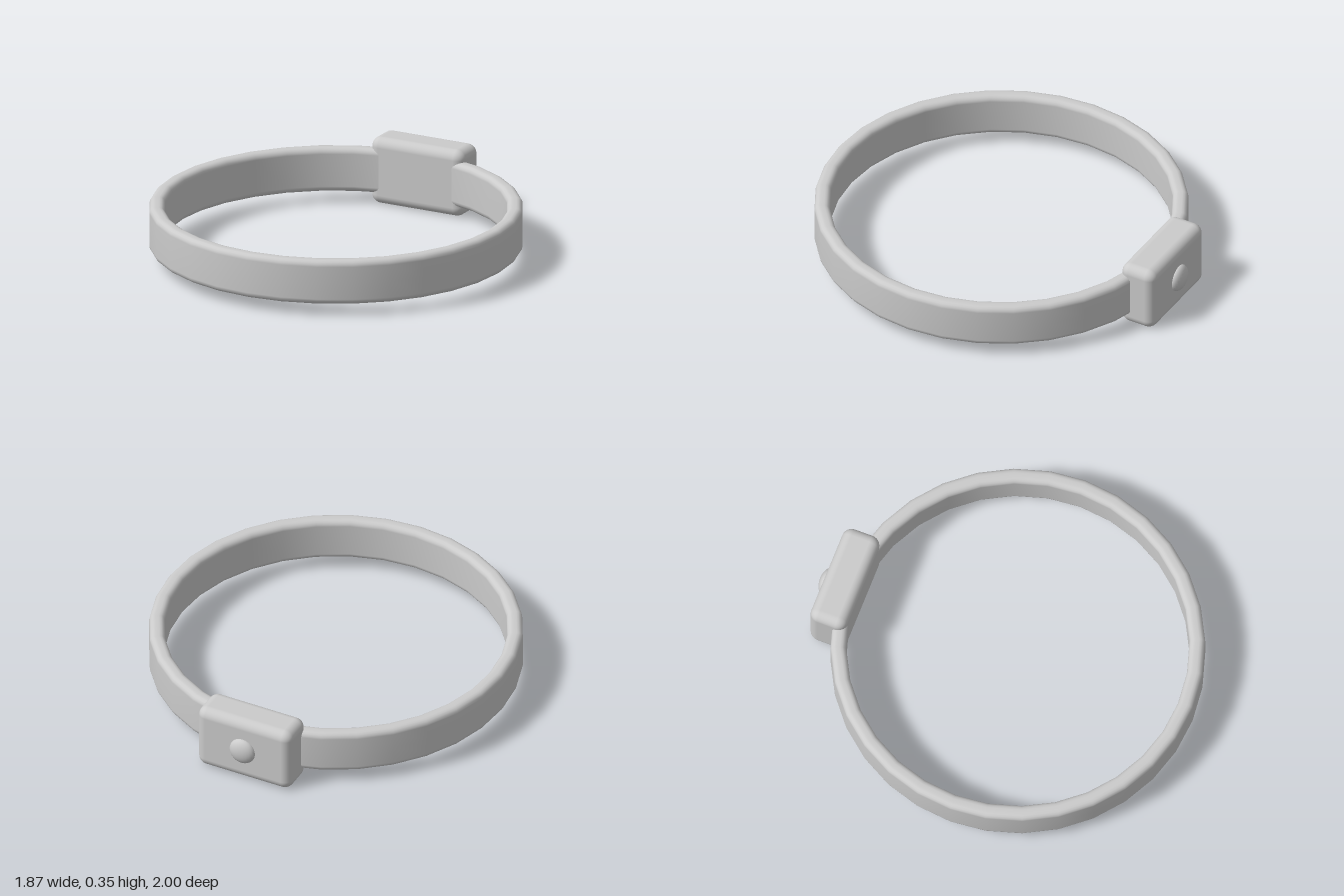
import * as THREE from 'three';
import { RoundedBoxGeometry } from 'three/addons/geometries/RoundedBoxGeometry.js';

const material = new THREE.MeshStandardMaterial({ color: 0xcccccc });

function addPart(group, name, geometry, x, y, z) {
  const mesh = new THREE.Mesh(geometry, material);
  mesh.name = name;
  mesh.position.set(x, y, z);
  group.add(mesh);
  return mesh;
}

// Rounded rectangle section of the band, as (radius, height) points
function bandProfile(inner, outer, halfHeight, round) {
  const mid = (inner + outer) / 2;
  const w = (outer - inner) / 2 - round;
  const h = halfHeight - round;
  const points = [new THREE.Vector2(outer, 0)];
  const corners = [[1, 1], [-1, 1], [-1, -1], [1, -1]];
  corners.forEach(([sx, sy], c) => {
    for (let i = 0; i <= 4; i++) {
      const a = (c + i / 4) * Math.PI / 2;
      points.push(new THREE.Vector2(
        mid + sx * w + round * Math.cos(a),
        sy * h + round * Math.sin(a)
      ));
    }
  });
  points.push(points[0].clone());
  return points;
}

export function createModel() {
  const group = new THREE.Group();
  group.name = 'collar';
  const midY = 0.174;

  // Band: 32-sided ring
  addPart(group, 'band',
    new THREE.LatheGeometry(bandProfile(0.857, 0.936, 0.115, 0.03), 32), 0, midY, 0.06);

  // Case at the back of the band
  addPart(group, 'case',
    new RoundedBoxGeometry(0.526, 0.348, 0.195, 4, 0.05), 0, midY, -0.866);

  // Domed button on the rear face of the case
  const button = addPart(group, 'button',
    new THREE.SphereGeometry(1, 24, 16), 0, midY, -0.963);
  button.scale.set(0.07, 0.07, 0.037);

  return group;
}
